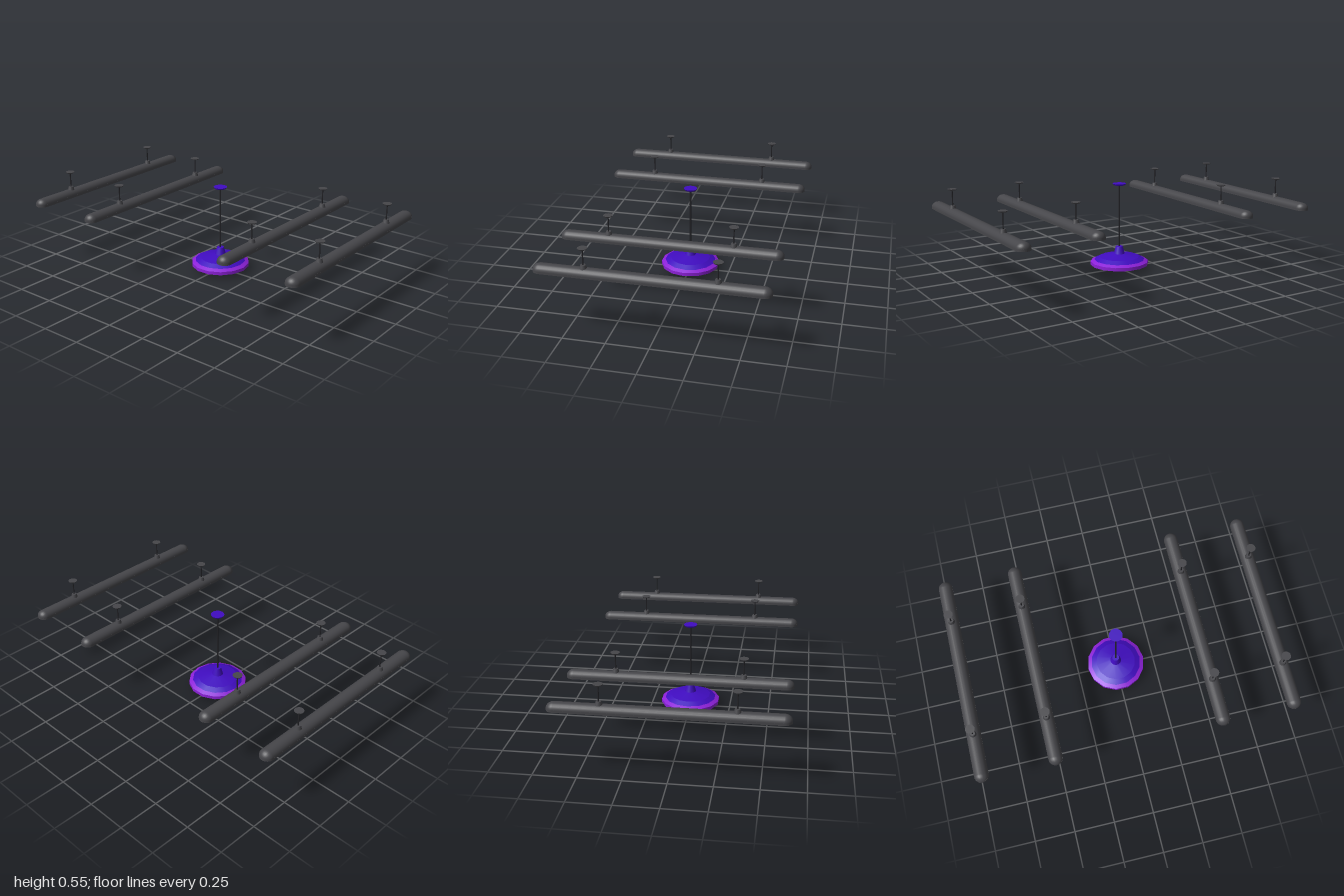
import * as THREE from 'three';

const mat = (name, color, side = THREE.FrontSide) => {
  const m = new THREE.MeshStandardMaterial({ color, side });
  m.name = name;
  return m;
};

export function createModel() {
  const blue = mat('deep blue', 0x400cc0);
  const purple = mat('purple', 0x8c20d8);
  const grey = mat('charcoal', 0x46464a);
  const dark = mat('near black', 0x242428);
  const yellow = mat('warm yellow', 0xd9a520);

  const root = new THREE.Group();
  root.name = 'ceilingLights';

  const add = (parent, name, geometry, material, x = 0, y = 0, z = 0) => {
    const mesh = new THREE.Mesh(geometry, material);
    mesh.name = name;
    mesh.position.set(x, y, z);
    parent.add(mesh);
    return mesh;
  };
  // Rounded surface from [radius, height] pairs, with corners on the x axis
  const lathe = (points, sides = 14) => new THREE.LatheGeometry(
    points.map(([r, y]) => new THREE.Vector2(r, y)), sides, Math.PI / 2);
  // Upright cylinder or cone between two heights
  const post = (rTop, rBottom, y0, y1, sides = 14) =>
    new THREE.CylinderGeometry(rTop, rBottom, y1 - y0, sides).translate(0, (y0 + y1) / 2, 0);

  // Central pendant lamp
  const pendant = new THREE.Group();
  pendant.name = 'pendantLamp';
  root.add(pendant);
  add(pendant, 'shadeRim', lathe([[0.183, 0.03], [0.183, 0.051]]), purple);
  add(pendant, 'shadeRimSlope', lathe([[0.183, 0.051], [0.159, 0.063]]), purple);
  add(pendant, 'shadeSlope', lathe([[0.159, 0.063], [0.125, 0.08]]), blue);
  add(pendant, 'shadeTop', lathe([[0.125, 0.08], [0.035, 0.1]]), blue);
  add(pendant, 'shadeInside', lathe([[0, 0.096], [0.035, 0.096], [0.124, 0.076], [0.18, 0.049], [0.183, 0.03]]), blue);
  add(pendant, 'neck', post(0.022, 0.036, 0.096, 0.146), blue);
  add(pendant, 'socket', post(0.02, 0.02, 0.035, 0.097), blue);
  add(pendant, 'bulb', new THREE.SphereGeometry(0.032, 14, 10), blue, 0, 0.032, 0);
  add(pendant, 'cord', post(0.005, 0.005, 0.14, 0.545, 8), dark);
  add(pendant, 'ceilingRose', post(0.042, 0.036, 0.539, 0.549), blue);

  // Long trough lights running front to back
  const R = 0.043, HALF = 0.613;
  const stadium = (Path, r, half) => {
    const s = new Path();
    s.moveTo(r, -half);
    s.lineTo(r, half);
    s.absarc(0, half, r, 0, Math.PI, false);
    s.lineTo(-r, -half);
    s.absarc(0, -half, r, Math.PI, 2 * Math.PI, false);
    return s;
  };
  // Domed housing: a capsule with its lower half pressed flat
  const dome = new THREE.CapsuleGeometry(R, 2 * HALF, 8, 20).rotateX(Math.PI / 2);
  const pos = dome.attributes.position;
  for (let i = 0; i < pos.count; i++) pos.setY(i, Math.max(0, pos.getY(i)) * 0.76);
  // Hollow lip around the underside
  const lipShape = stadium(THREE.Shape, R, HALF);
  lipShape.holes.push(stadium(THREE.Path, 0.033, HALF));
  const lip = new THREE.ExtrudeGeometry(lipShape, { depth: 0.013, bevelEnabled: false, curveSegments: 10 })
    .rotateX(Math.PI / 2);
  const recess = new THREE.ShapeGeometry(stadium(THREE.Shape, 0.036, HALF), 10).rotateX(Math.PI / 2);
  const tube = new THREE.CylinderGeometry(0.01, 0.01, 1.2, 10).rotateX(Math.PI / 2);

  for (const x of [-0.957, -0.513, 0.513, 0.957]) {
    const light = new THREE.Group();
    light.name = 'troughLight';
    light.position.x = x;
    root.add(light);
    add(light, 'housing', dome, grey, 0, 0.398, 0);
    add(light, 'housingLip', lip, grey, 0, 0.399, 0);
    add(light, 'recess', recess, dark, 0, 0.396, 0);
    add(light, 'lightTube', tube, yellow, 0, 0.395, 0);
    for (const z of [-0.368, 0.368]) {
      add(light, 'mountCone', post(0.015, 0.023, 0.42, 0.449), grey, 0, 0, z);
      add(light, 'hangerRod', post(0.004, 0.004, 0.44, 0.545, 8), dark, 0, 0, z);
      add(light, 'ceilingDisc', post(0.028, 0.024, 0.542, 0.549), grey, 0, 0, z);
    }
  }
  return root;
}
